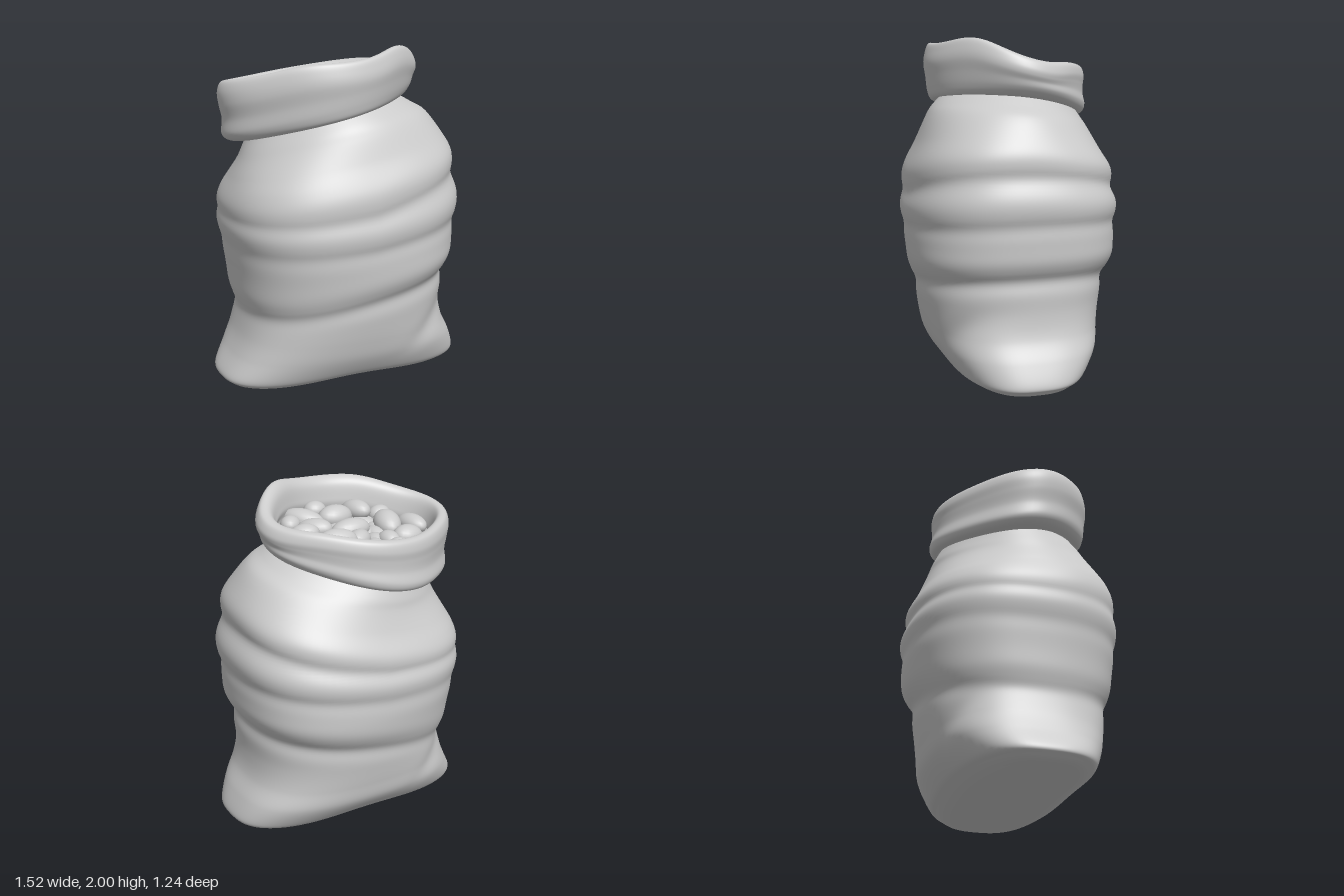
import * as THREE from 'three';

const SEG = 96;
const bump = (d, w) => Math.exp(-(d * d) / (w * w));
const { smoothstep } = THREE.MathUtils;

// Closed loft through rows of [y, xMin, xMax, zFront, zBack].
// pinch(y) squares (negative) or sharpens (positive) the oval; place() bends each point.
function loft(rows, steps, pinch, place) {
  const curves = [1, 2, 3, 4].map(k => new THREE.SplineCurve(rows.map(r => new THREE.Vector2(r[k], r[0]))));
  const pos = [], index = [];
  for (let i = 0; i <= steps; i++) {
    const p = curves.map(c => c.getPoint(i / steps));
    const y = p[0].y;
    const cx = (p[0].x + p[1].x) / 2, hx = (p[1].x - p[0].x) / 2;
    const cz = (p[2].x + p[3].x) / 2, hz = (p[2].x - p[3].x) / 2;
    for (let j = 0; j < SEG; j++) {
      const a = (j / SEG) * Math.PI * 2;
      const r = 1 - pinch(y) * Math.sin(2 * a) ** 2;
      const v = new THREE.Vector3(cx + hx * r * Math.cos(a), y, cz + hz * r * Math.sin(a));
      place(v, a);
      pos.push(v.x, v.y, v.z);
      if (i < steps) {
        const b = i * SEG + j, n = i * SEG + (j + 1) % SEG;
        index.push(b, b + SEG, n, n, b + SEG, n + SEG);
      }
    }
  }
  const g = new THREE.BufferGeometry();
  g.setAttribute('position', new THREE.Float32BufferAttribute(pos, 3));
  g.setIndex(index);
  g.computeVertexNormals();
  return g;
}

// Cloth fold: swells broadly above its line and tucks in just below it.
const fold = (d, w) => { const t = d / (d > 0 ? w * 1.6 : w); return t * Math.exp(0.5 - t * t / 2); };

// Tilted fold lines around the sack: height, slope in x, lift on the +x side, width, depth
const FOLDS = [
  [0.60, 0.16, 0.0, 0.05, 0.020],
  [0.93, 0.05, 0.05, 0.045, 0.013],
  [1.12, 0.05, 0.08, 0.045, 0.018],
];

// Square foot, full belly, slightly diamond-shaped neck
const bodyPinch = y => -0.10 + 0.03 * smoothstep(y, 0.15, 0.5) + 0.11 * smoothstep(y, 1.25, 1.6);

function placeBody(v, a) {
  const { x, y, z } = v;
  const c = Math.cos(a), s = Math.sin(a);
  let push = 0;
  for (const [h, k, lift, w, depth] of FOLDS) {
    push += depth * (0.7 + 0.35 * c) * fold(y - h - k * x - lift * Math.max(0, c), w);
  }
  // tucks above the lower corners, one in front and a weaker one diagonally opposite
  push -= 0.022 * bump(y - 0.36 - 0.7 * (x - 0.46), 0.09) * bump(x - 0.47, 0.16) * Math.max(0, s);
  push -= 0.018 * bump(y - 0.36 + 0.7 * (x + 0.46), 0.09) * bump(x + 0.47, 0.16) * Math.max(0, -s);
  push *= smoothstep(y, 0.06, 0.2);
  v.x += push * c;
  v.z += push * s;
  // shoulders tilt with the neck, the base arches up in the middle
  v.y += smoothstep(y, 0.9, 1.6) * (0.2 * x + 0.15 * z);
  v.y += 0.03 * bump(x, 0.4) * (1 - smoothstep(y, 0, 0.25));
}

function placeCuff(v) {
  const { x, y, z } = v;
  const t = smoothstep(y, 1.6, 1.88);
  v.y += (0.2 - 0.1 * t) * x + 0.15 * z - 0.01 * t;
  // uneven rim: peaks at two front corners, dips at the side and the back
  v.y += t * 0.045 * bump(x - 0.29, 0.2) * bump(z - 0.28, 0.22);
  v.y += t * 0.025 * bump(x + 0.33, 0.2) * bump(z - 0.33, 0.22);
  v.y -= t * 0.05 * bump(x - 0.5, 0.22) * bump(z + 0.08, 0.28);
  v.y -= t * 0.02 * bump(z + 0.45, 0.3);
}

export function createModel() {
  const group = new THREE.Group();
  const mat = new THREE.MeshStandardMaterial({ color: 0xcccccc });
  const add = (name, geo) => {
    const m = new THREE.Mesh(geo, mat);
    m.name = name;
    group.add(m);
  };

  // Sack body, from the middle of the base up to the neck
  add('sackBody', loft([
    [0.005, 0, 0, 0, 0],
    [0.0, -0.54, 0.56, 0.22, -0.20],
    [0.012, -0.68, 0.69, 0.31, -0.27],
    [0.04, -0.74, 0.735, 0.37, -0.33],
    [0.08, -0.76, 0.755, 0.415, -0.385],
    [0.2, -0.69, 0.71, 0.475, -0.465],
    [0.32, -0.64, 0.65, 0.51, -0.495],
    [0.45, -0.62, 0.63, 0.535, -0.52],
    [0.6, -0.64, 0.64, 0.56, -0.55],
    [0.8, -0.67, 0.67, 0.60, -0.60],
    [1.0, -0.70, 0.71, 0.615, -0.61],
    [1.2, -0.685, 0.69, 0.59, -0.58],
    [1.35, -0.64, 0.635, 0.53, -0.53],
    [1.47, -0.59, 0.56, 0.48, -0.49],
    [1.54, -0.56, 0.47, 0.44, -0.47],
    [1.62, -0.52, 0.37, 0.37, -0.43],
  ], 176, bodyPinch, placeBody));

  // Rolled cuff: out from the neck, over the rim, down the inside to a floor
  add('rolledCuff', loft([
    [1.64, -0.50, 0.35, 0.35, -0.41],
    [1.595, -0.57, 0.40, 0.40, -0.45],
    [1.605, -0.64, 0.45, 0.43, -0.49],
    [1.65, -0.685, 0.485, 0.445, -0.505],
    [1.72, -0.685, 0.495, 0.455, -0.49],
    [1.79, -0.705, 0.51, 0.465, -0.49],
    [1.85, -0.71, 0.51, 0.455, -0.495],
    [1.90, -0.69, 0.485, 0.435, -0.48],
    [1.905, -0.65, 0.44, 0.40, -0.44],
    [1.87, -0.62, 0.41, 0.36, -0.41],
    [1.78, -0.59, 0.39, 0.34, -0.39],
    [1.67, -0.57, 0.37, 0.32, -0.37],
    [1.66, -0.1, -0.1, -0.02, -0.02],
  ], 96, () => 0.07, placeCuff));

  // Beans: x, z, turn in degrees, half length, half width
  const beans = new THREE.Group();
  beans.name = 'beans';
  group.add(beans);
  const beanGeo = new THREE.SphereGeometry(1, 20, 14);
  const addBean = (x, z, deg, a, b, lift, lean) => {
    const m = new THREE.Mesh(beanGeo, mat);
    m.name = 'bean';
    m.scale.set(a, b * 0.9, b);
    m.position.set(x, lift + 0.1 * x + 0.13 * z, z);
    m.rotation.set(0, -THREE.MathUtils.degToRad(deg), lean);
    beans.add(m);
  };
  [
    [-0.50, -0.02, 80, 0.11, 0.065], [-0.33, -0.01, 105, 0.12, 0.08],
    [-0.07, -0.02, 0, 0.125, 0.075], [0.17, -0.02, 50, 0.11, 0.07],
    [-0.06, 0.14, -10, 0.115, 0.08], [0.14, 0.16, 50, 0.13, 0.07],
    [-0.24, 0.20, 80, 0.11, 0.07], [-0.38, 0.16, 0, 0.07, 0.06],
    [-0.04, -0.17, -45, 0.10, 0.065], [0.12, -0.20, 10, 0.12, 0.075],
    [-0.04, -0.33, 70, 0.085, 0.065], [-0.21, -0.32, 0, 0.07, 0.06],
    [-0.35, -0.20, -10, 0.10, 0.075], [-0.23, -0.19, 90, 0.08, 0.06],
    [0.27, -0.08, 20, 0.09, 0.065], [0.01, 0.26, 0, 0.07, 0.06],
    [0.26, 0.10, -50, 0.08, 0.06],
  ].forEach(([x, z, deg, a, b], i) => addBean(x, z, deg, a, b, 1.765 + 0.012 * Math.sin(i * 2.3), 0.15 * Math.sin(i * 1.7)));

  // Lower layer filling the gaps, spread in a spiral
  for (let i = 0; i < 40; i++) {
    const r = Math.sqrt((i + 0.5) / 40), a = i * 2.4;
    addBean(-0.1 + 0.4 * r * Math.cos(a), -0.02 + 0.28 * r * Math.sin(a), i * 67, 0.09, 0.065, 1.71, 0.25 * Math.sin(i * 3.1));
  }
  return group;
}
